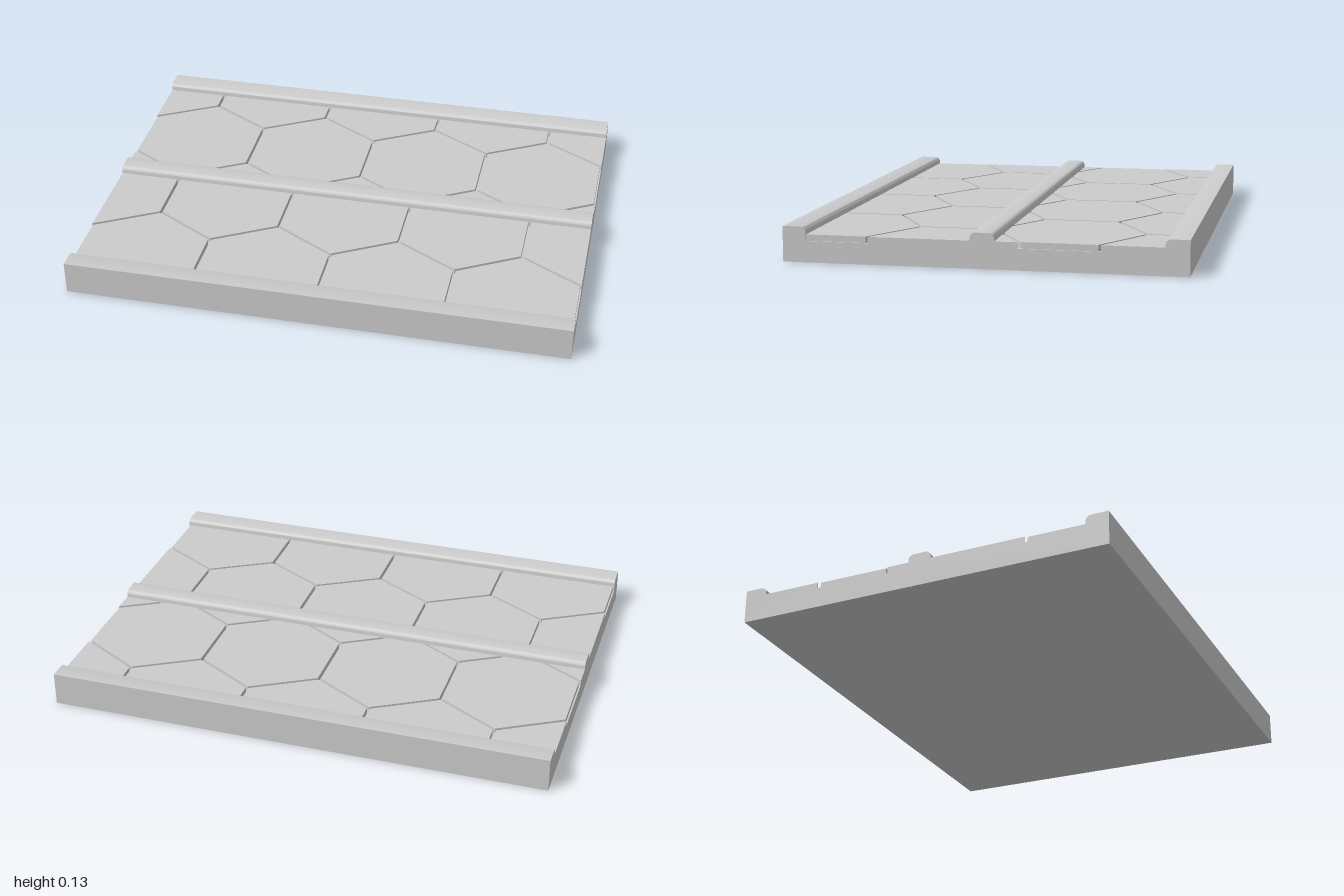
import * as THREE from 'three';
import { toCreasedNormals } from 'three/addons/utils/BufferGeometryUtils.js';

const HALF_X = 1, HALF_Z = 0.757;
const FLOOR = 0.08, DECK = 0.104, TOP = 0.134;   // groove floor, tile top, rib top
const RIB = 0.046, EDGE = 0.668, ROUND = 0.021;  // rib half width, inner side of edge ribs
const PITCH = 0.5, GAP = 0.012;                  // hexagon width and groove width

const material = new THREE.MeshStandardMaterial({ color: 0xcccccc });

// Keep the part of a convex polygon where sign * p[axis] <= limit
function clip(points, axis, sign, limit) {
  const out = [];
  points.forEach((a, i) => {
    const b = points[(i + 1) % points.length];
    const da = sign * a[axis] - limit, db = sign * b[axis] - limit;
    if (da <= 0) out.push(a);
    if (da * db < 0) out.push(a.clone().lerp(b, da / (da - db)));
  });
  return out;
}

// Slab with three round-shouldered ribs: one cross-section run along x
function createBase() {
  const s = new THREE.Shape();
  const shoulder = TOP - ROUND;
  s.moveTo(-HALF_Z, 0);
  s.lineTo(HALF_Z, 0);
  s.lineTo(HALF_Z, TOP);
  s.lineTo(EDGE + ROUND, TOP);
  s.absarc(EDGE + ROUND, shoulder, ROUND, Math.PI / 2, Math.PI, false);
  s.lineTo(EDGE, FLOOR);
  s.lineTo(RIB, FLOOR);
  s.lineTo(RIB, shoulder);
  s.absarc(RIB - ROUND, shoulder, ROUND, 0, Math.PI / 2, false);
  s.lineTo(ROUND - RIB, TOP);
  s.absarc(ROUND - RIB, shoulder, ROUND, Math.PI / 2, Math.PI, false);
  s.lineTo(-RIB, FLOOR);
  s.lineTo(-EDGE, FLOOR);
  s.lineTo(-EDGE, shoulder);
  s.absarc(-EDGE - ROUND, shoulder, ROUND, 0, Math.PI / 2, false);
  s.lineTo(-HALF_Z, TOP);
  const geo = new THREE.ExtrudeGeometry(s, { depth: 2 * HALF_X, bevelEnabled: false, curveSegments: 10 });
  geo.translate(0, 0, -HALF_X).rotateY(Math.PI / 2);
  const mesh = new THREE.Mesh(toCreasedNormals(geo, 0.5), material);
  mesh.name = 'ribbedBase';
  return mesh;
}

// One hexagonal tile, trimmed to the deck between two ribs
function createTile(cx, cz, zMin, zMax) {
  const r = (PITCH - GAP) / Math.sqrt(3);
  let pts = [];
  for (let i = 0; i < 6; i++) {
    const a = Math.PI / 6 + i * Math.PI / 3;
    pts.push(new THREE.Vector2(cx + r * Math.cos(a), -cz + r * Math.sin(a)));
  }
  pts = clip(pts, 'x', 1, HALF_X);
  pts = clip(pts, 'x', -1, HALF_X);
  pts = clip(pts, 'y', 1, -zMin);
  pts = clip(pts, 'y', -1, zMax);
  if (pts.length < 3) return null;
  const geo = new THREE.ExtrudeGeometry(new THREE.Shape(pts), { depth: DECK - FLOOR, bevelEnabled: false });
  geo.rotateX(-Math.PI / 2).translate(0, FLOOR, 0);
  const mesh = new THREE.Mesh(geo, material);
  mesh.name = 'hexTile';
  return mesh;
}

export function createModel() {
  const model = new THREE.Group();
  model.name = 'hexFloorPanel';
  model.add(createBase());

  // Staggered rows of hexagons fill both channels
  const rowStep = PITCH * Math.sqrt(3) / 2;
  [['backTiles', -EDGE, -RIB], ['frontTiles', RIB, EDGE]].forEach(([name, zMin, zMax]) => {
    const tiles = new THREE.Group();
    tiles.name = name;
    for (let row = 0; row < 4; row++) {
      const cz = -0.718 + row * rowStep;
      const shift = row % 2 ? PITCH / 2 : 0;
      for (let i = -2; i <= 2; i++) {
        const tile = createTile(i * PITCH + shift, cz, zMin, zMax);
        if (tile) tiles.add(tile);
      }
    }
    model.add(tiles);
  });
  return model;
}
